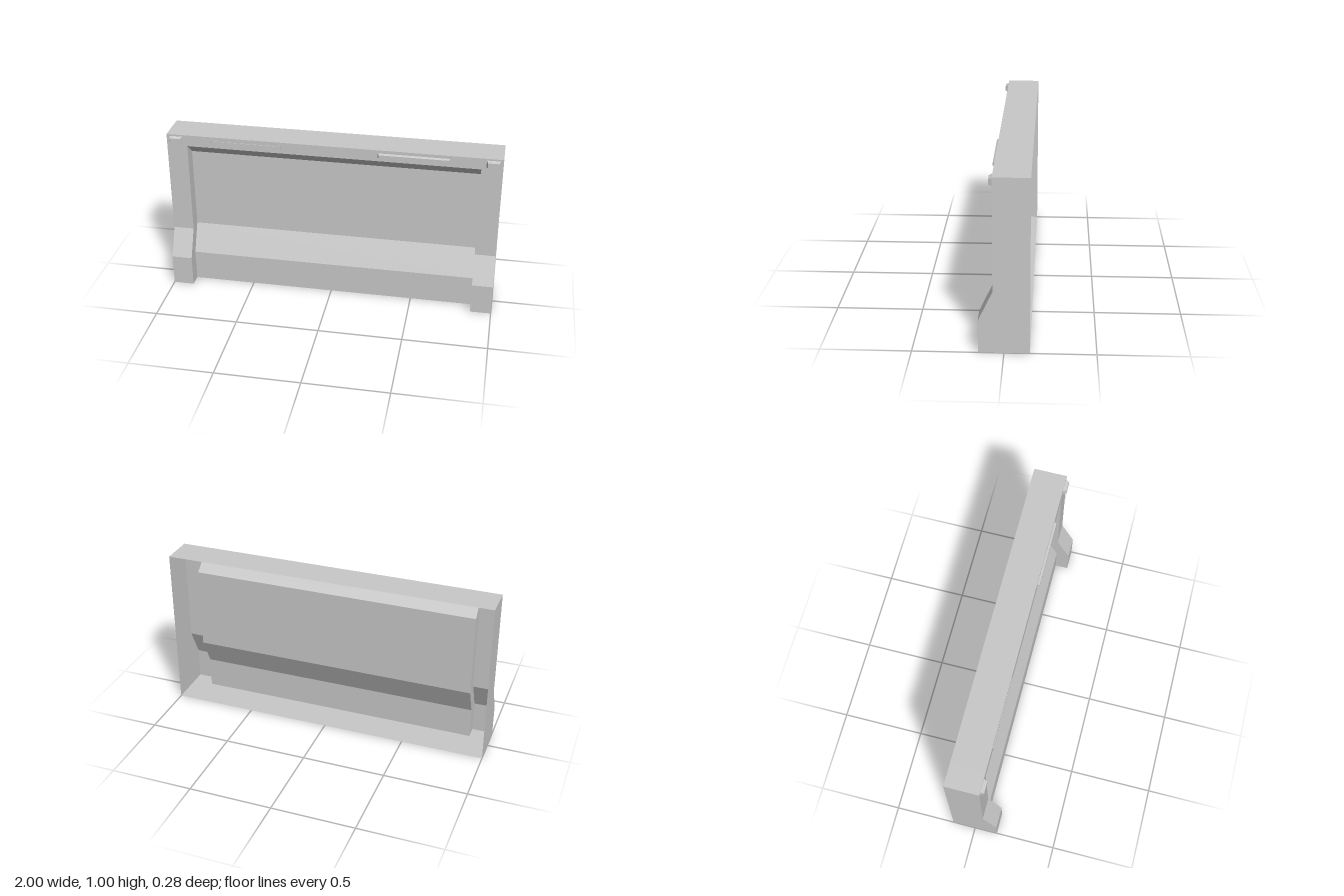
import * as THREE from 'three';

export function createModel() {
  const group = new THREE.Group();
  const grey = new THREE.MeshStandardMaterial({ color: 0xc8c8c8, side: THREE.DoubleSide, flatShading: true });
  grey.name = 'grey';

  const add = (name, geometry, x = 0, y = 0, z = 0) => {
    const mesh = new THREE.Mesh(geometry, grey);
    mesh.name = name;
    mesh.position.set(x, y, z);
    group.add(mesh);
  };

  // Folded sheet: a [z, y] profile swept from x0 to x1
  const sheet = (profile, x0, x1) => {
    const pos = [];
    for (let i = 0; i < profile.length - 1; i++) {
      const [za, ya] = profile[i], [zb, yb] = profile[i + 1];
      pos.push(x0, ya, za, x0, yb, zb, x1, yb, zb, x0, ya, za, x1, yb, zb, x1, ya, za);
    }
    const g = new THREE.BufferGeometry();
    g.setAttribute('position', new THREE.Float32BufferAttribute(pos, 3));
    g.computeVertexNormals();
    return g;
  };

  // Flat wall across x, outlined by [z, y] points
  const wall = (outline) => {
    const shape = new THREE.Shape(outline.map(([z, y]) => new THREE.Vector2(z, y)));
    return new THREE.ShapeGeometry(shape).rotateY(-Math.PI / 2);
  };

  // Block whose front face is inset
  const taperedBlock = (w, h, d, inset) => {
    const g = new THREE.BoxGeometry(w, h, d).translate(0, 0, d / 2);
    const p = g.attributes.position;
    for (let i = 0; i < p.count; i++) {
      if (p.getZ(i) > d / 2) {
        p.setX(i, p.getX(i) - Math.sign(p.getX(i)) * inset);
        p.setY(i, p.getY(i) - Math.sign(p.getY(i)) * inset);
      }
    }
    g.computeVertexNormals();
    return g;
  };

  const back = -0.14, face = 0.06, foot = 0.14, inner = -0.02, post = 0.875;
  const postProfile = [[back, 1], [face, 1], [face, 0.36], [foot, 0.19], [foot, 0], [back, 0]];
  const panelFront = [[face, 0.93], [inner, 0.86], [inner, 0.36], [face, 0.19], [face, 0]];

  // Recessed centre, with the top rail and floor; open at the back
  add('recessedPanel', sheet([[back, 1], [face, 1], ...panelFront, [back, 0]], -post, post));

  for (const [side, s] of [['left', 1], ['right', -1]]) {
    // Posts with their feet, outer walls and the walls of the recess
    add(side + 'Post', sheet(postProfile, s > 0 ? post : -1, s > 0 ? 1 : -post));
    add(side + 'OuterWall', wall(postProfile), s);
    add(side + 'RecessWall', wall([[foot, 0], [foot, 0.19], [face, 0.36], ...panelFront]), s * post);
    // Corner bumpers
    add(side + 'Bumper', taperedBlock(0.08, 0.045, 0.02, 0.008), s * 0.943, 0.967, face);
  }

  // Raised bar on one side of the top rail
  add('leftBar', taperedBlock(0.42, 0.03, 0.013, 0.006), 0.485, 0.966, face);

  // Slim strip with end tabs on the other side
  add('rightStrip', new THREE.BoxGeometry(0.41, 0.014, 0.004), -0.515, 0.968, face + 0.002);
  for (const x of [-0.723, -0.307]) {
    add('stripEnd', new THREE.BoxGeometry(0.006, 0.028, 0.006), x, 0.967, face + 0.003);
  }
  return group;
}
